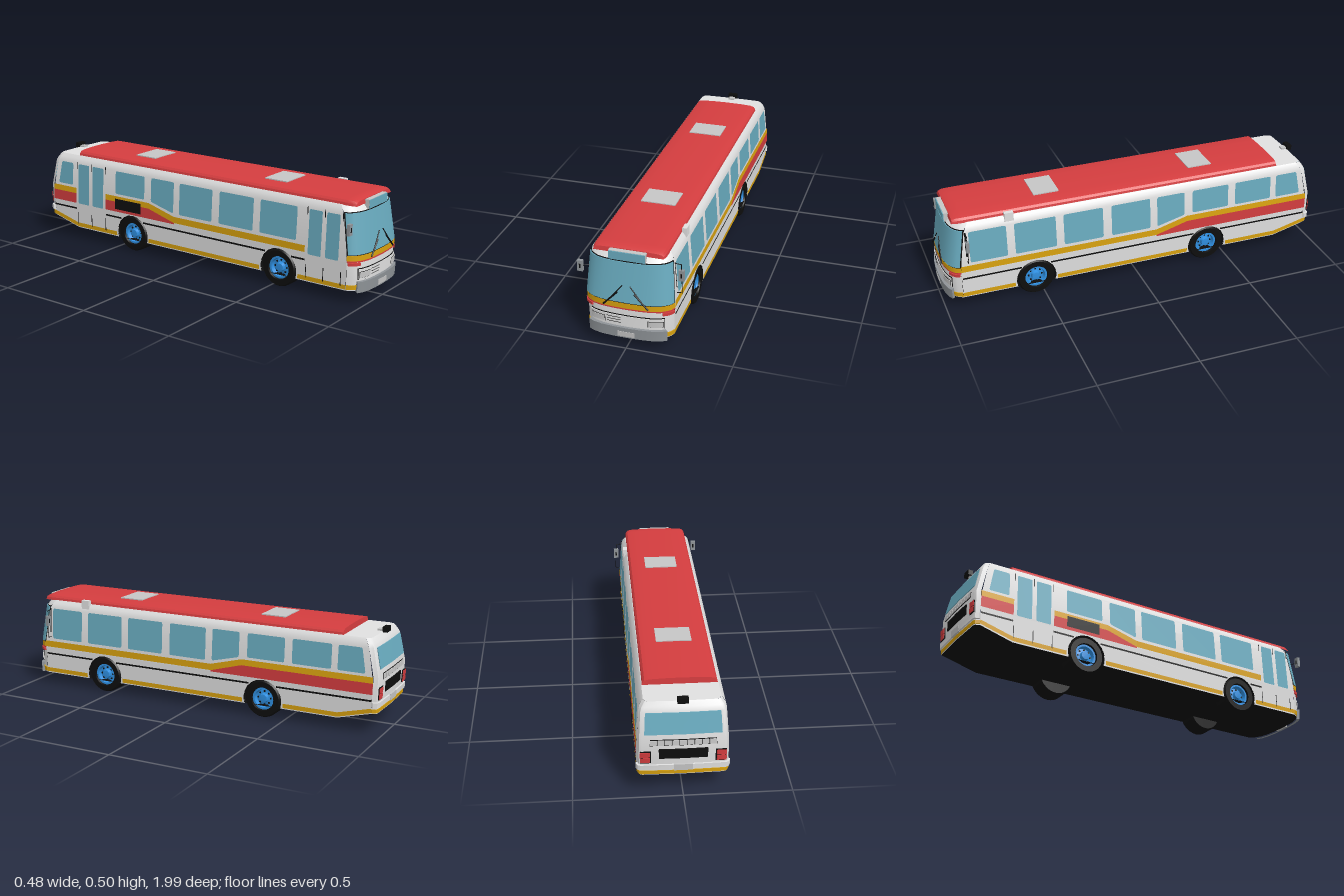
import * as THREE from 'three';
import { toCreasedNormals } from 'three/addons/utils/BufferGeometryUtils.js';

const paint = (name, color, side = THREE.FrontSide) => {
  const m = new THREE.MeshStandardMaterial({ color, side });
  m.name = name;
  return m;
};
const white = paint('bodyWhite', 0xe0e0e0);
const red = paint('roofRed', 0xd43d3f);
const yellow = paint('stripeYellow', 0xd9a20f);
const glass = paint('windowGlass', 0x69abbf);
const black = paint('black', 0x0e0e0e, THREE.DoubleSide);
const pale = paint('paleGrey', 0xc6c6c6);
const grey = paint('bumperGrey', 0x8f9498);
const blue = paint('hubBlue', 0x2f8fe0);

// Piecewise-linear lookup in a list of [key, value]
const look = (t, k) => {
  if (k <= t[0][0]) return t[0][1];
  for (let i = 1; i < t.length; i++) {
    if (k <= t[i][0]) return THREE.MathUtils.mapLinear(k, t[i - 1][0], t[i][0], t[i - 1][1], t[i][1]);
  }
  return t[t.length - 1][1];
};
// Body half width, front end and rear end by height; corner rounding by fraction of the width
const W = (y) => look([[0.06, 0.203], [0.2, 0.207], [0.255, 0.207], [0.42, 0.196], [0.445, 0.188], [0.462, 0.174]], y);
const F = (y) => look([[0.06, 0.982], [0.11, 0.985], [0.235, 0.985], [0.43, 0.955], [0.462, 0.93]], y);
const B = (y) => look([[0.105, -0.978], [0.28, -0.985], [0.42, -0.955], [0.44, -0.945], [0.462, -0.93]], y);
const FD = [[0, 0], [0.3, 0.002], [0.55, 0.007], [0.75, 0.018], [0.88, 0.034], [0.95, 0.048], [1, 0.07]];
const RD = [[0, 0], [0.9, 0.004], [0.96, 0.01], [1, 0.03]];
const front = (a, y, o = 0) => [a * (W(y) + o), y, F(y) - look(FD, Math.abs(a)) + o];
const rear = (a, y, o = 0) => [-a * (W(y) + o), y, B(y) + look(RD, Math.abs(a)) - o];
const stops = (t, a0, a1) => {
  const all = t.flatMap(([k]) => [k, -k]).filter((k) => k > a0 + 1e-4 && k < a1 - 1e-4);
  return [a0, ...new Set(all.map((k) => k + 0)), a1].sort((p, q) => p - q);
};

export function createModel() {
  const bus = new THREE.Group();
  bus.name = 'bus';
  const add = (name, geo, mat, parent = bus) => {
    const m = new THREE.Mesh(geo, mat);
    m.name = name;
    parent.add(m);
    return m;
  };
  // Surface through fn(u, v) over two lists
  const grid = (name, us, vs, fn, mat) => {
    const pos = [], idx = [], n = us.length;
    vs.forEach((v, j) => us.forEach((u, i) => {
      pos.push(...fn(u, v, i, j));
      if (i && j) {
        const d = j * n + i, c = d - 1, b = d - n, a = b - 1;
        idx.push(a, b, d, a, d, c);
      }
    }));
    const g = new THREE.BufferGeometry();
    g.setAttribute('position', new THREE.Float32BufferAttribute(pos, 3));
    g.setIndex(idx);
    return add(name, toCreasedNormals(g, 0.5), mat);
  };
  // Plate that follows the front or rear end
  const slab = (name, surf, a0, a1, y0, y1, o, mat) => {
    const s = stops(surf === front ? FD : RD, a0, a1);
    const us = [a0, ...s, a1], last = us.length - 1;
    const ring = [[y0, 0], [y0, o], [y1, o], [y1, 0]];
    return grid(name, us, ring, (u, [y, off], i) => surf(u, y, i === 0 || i === last ? 0 : off), mat);
  };
  // Flat outline of [z, y] points laid on a side wall, with optional rounded corners
  const sidePlate = (name, side, pts, mat, o = 0.003, r = 0) => {
    const v = pts.map(([z, y]) => new THREE.Vector2(-side * z, y));
    const s = new THREE.Shape();
    v.forEach((p, i) => {
      const q = v[(i + v.length - 1) % v.length], n = v[(i + 1) % v.length];
      const p0 = p.clone().add(q.clone().sub(p).setLength(r)), p1 = p.clone().add(n.clone().sub(p).setLength(r));
      if (i) s.lineTo(p0.x, p0.y); else s.moveTo(p0.x, p0.y);
      if (r) s.quadraticCurveTo(p.x, p.y, p1.x, p1.y);
    });
    const g = new THREE.ShapeGeometry(s, 3), a = g.attributes.position;
    for (let i = 0; i < a.count; i++) a.setXYZ(i, side * (W(a.getY(i)) + o), a.getY(i), -side * a.getX(i));
    g.computeVertexNormals();
    return add(name, g, mat);
  };
  const rect = (z0, z1, y0, y1) => [[z0, y0], [z1, y0], [z1, y1], [z0, y1]];
  const box = (name, w, h, d, x, y, z, mat) => add(name, new THREE.BoxGeometry(w, h, d), mat).position.set(x, y, z);
  const rod = (name, a, b, r, mat) => {
    const p = new THREE.Vector3(...a), q = new THREE.Vector3(...b), d = q.clone().sub(p);
    const m = add(name, new THREE.CylinderGeometry(r, r, d.length(), 6), mat);
    m.position.copy(p).lerp(q, 0.5);
    m.quaternion.setFromUnitVectors(new THREE.Vector3(0, 1, 0), d.normalize());
  };

  // Body shell
  const axles = [0.54, -0.385], all = stops(FD, -1, 1), allR = stops(RD, -1, 1);
  grid('frontEnd', all, [0.06, 0.11, 0.235, 0.43, 0.445, 0.462], (a, y) => front(a, y), white);
  grid('rearEnd', allR, [0.105, 0.2, 0.28, 0.42, 0.44, 0.462], (a, y) => rear(a, y), white);
  grid('roofDeck', all, [0, 1], (a, v) => (v ? rear(-a, 0.462) : front(a, 0.462)), white);
  grid('floor', all.map((a) => -a), [0, 1, 2],
    (a, v) => [() => front(a, 0.06), () => [a * W(0.06), 0.06, -0.78], () => rear(-a, 0.105)][v](), black);
  for (const s of [1, -1]) {
    grid('upperSide', [0, 1], [0.2, 0.255, 0.42, 0.445, 0.462],
      (u, y) => [s * W(y), y, (s > 0 ? u : 1 - u) ? B(y) + 0.03 : F(y) - 0.07], white);
    const low = [[0.912, 0.06]];
    for (const c of axles) {
      for (let i = 0; i <= 12; i++) {
        const t = -0.33 + (i / 12) * (Math.PI + 0.66);
        low.push([c + 0.102 * Math.cos(t), 0.093 + 0.102 * Math.sin(t)]);
      }
    }
    low.push([-0.78, 0.06], [-0.948, 0.105], [-0.951, 0.2], [0.915, 0.2]);
    sidePlate('lowerSide', s, low, white, 0);
  }

  // Raised roof, with a rounded nose
  const half = [[0.172, 0], [0.169, 0.013], [0.16, 0.023], [0.14, 0.028], [0.08, 0.031]];
  const arc = [...half.map(([x, y]) => [-x, y]), [0, 0.032], ...half.slice().reverse()];
  const stations = [[0.936, 0.95, 0], [0.932, 0.96, 0.7], [0.915, 0.99, 0.96], [0.88, 1, 1], [-0.785, 1, 1], [-0.787, 1, 0]];
  grid('raisedRoof', arc, stations, ([x, y], [z, sx, sy]) => [x * sx, 0.46 + y * sy, z], red);
  for (const z of [-0.385, 0.44]) box('roofHatch', 0.17, 0.008, 0.13, 0, 0.492, z, pale);
  box('signHousing', 0.172, 0.044, 0.05, 0, 0.457, 0.93, pale);
  box('destinationSign', 0.17, 0.04, 0.004, 0, 0.457, 0.957, glass);

  // Windscreen and wipers
  slab('windscreenSeal', front, -1, 1, 0.233, 0.433, 0.002, black);
  slab('windscreen', front, -0.99, 0.99, 0.237, 0.429, 0.004, glass);
  for (const s of [1, -1]) {
    rod('wiperArm', [s * 0.018, 0.32, 0.978], [s * 0.1, 0.22, 0.99], 0.0025, black);
    rod('wiperBlade', [s * 0.04, 0.285, 0.984], [s * 0.106, 0.217, 0.99], 0.004, black);
  }

  // Front stripes, grille panel, lamps and bumper
  slab('frontYellowBand', front, -1, 1, 0.207, 0.233, 0.003, yellow);
  slab('frontRedLine', front, -1, 1, 0.2, 0.206, 0.003, red);
  slab('grilleSurround', front, -0.84, 0.84, 0.114, 0.17, 0.002, black);
  slab('grillePanel', front, -0.825, 0.825, 0.116, 0.166, 0.005, white);
  for (const y of [0.128, 0.141, 0.154]) slab('grilleSlat', front, -0.44, -0.12, y, y + 0.002, 0.006, black);
  for (const s of [1, -1]) {
    const pair = (name, a, b, ...rest) => slab(name, front, Math.min(s * a, s * b), Math.max(s * a, s * b), ...rest);
    pair('headlampRim', 0.48, 0.81, 0.123, 0.154, 0.006, black);
    pair('headlamp', 0.49, 0.8, 0.125, 0.152, 0.008, pale);
    pair('indicator', 0.79, 0.99, 0.184, 0.198, 0.006, red);
    pair('frontCornerStripe', 0.86, 1, 0.066, 0.088, 0.003, yellow);
  }
  slab('frontBumper', front, -0.86, 0.86, 0.053, 0.107, 0.013, grey);
  slab('frontPlate', front, -0.185, 0.185, 0.06, 0.086, 0.015, pale);

  // Side stripes; the right side leaves room for two doors
  const lo = (z) => look([[-0.27, 0.255], [-0.1, 0.207]], z), hi = (z) => look([[-0.27, 0.285], [-0.1, 0.24]], z);
  const band = (name, s, z0, z1, f0, f1, mat) => {
    const zs = [z0, ...[-0.27, -0.1].filter((z) => z > z0 && z < z1), z1];
    sidePlate(name, s, [...zs.map((z) => [z, f0(z)]), ...zs.reverse().map((z) => [z, f1(z)])], mat);
  };
  const runs = { 1: [[-0.954, 0.915]], '-1': [[-0.954, -0.785], [-0.57, 0.69]] };
  const lines = { 1: [[-0.95, -0.46], [-0.31, 0.465], [0.615, 0.91]], '-1': [[-0.95, -0.785], [-0.57, -0.46], [-0.31, 0.465], [0.615, 0.69]] };
  for (const s of [1, -1]) {
    for (const [z0, z1] of runs[s]) {
      band('yellowBand', s, z0, z1, lo, hi, yellow);
      if (z0 < -0.1) band('redBand', s, z0, Math.min(z1, -0.1), () => 0.2, lo, red);
    }
    for (const [z0, z1] of lines[s]) sidePlate('blackLine', s, rect(z0, z1, 0.165, 0.174), black);
    for (const [z0, z1] of [[0.65, 0.912], [-0.275, 0.43], [-0.78, -0.495]]) {
      sidePlate('sillStripe', s, rect(z0, z1, 0.066, 0.088), yellow);
    }
    sidePlate('sillStripe', s, [[-0.78, 0.066], [-0.95, 0.111], [-0.95, 0.132], [-0.78, 0.088]], yellow);

    // Side windows
    const panes = [[0.43, 0.64], [0.185, 0.39], [-0.067, 0.14], [-0.255, -0.105], [-0.5, -0.3]];
    if (s > 0) panes.push([0.68, 0.866], [-0.743, -0.54]);
    for (const [z0, z1] of panes) {
      const sill = (z) => look([[-0.27, 0.298], [-0.1, 0.256]], z);
      sidePlate('sideWindow', s, [[z0, sill(z0)], [z1, sill(z1)], [z1, 0.42], [z0, 0.42]], glass, 0.003, 0.01);
    }
    sidePlate('rearSideWindow', s, [[-0.915, 0.298], [s > 0 ? -0.775 : -0.81, 0.298], [s > 0 ? -0.775 : -0.81, 0.42], [-0.893, 0.42]], glass, 0.003, 0.01);
  }
  sidePlate('driverPillar', 1, rect(0.877, 0.885, 0.29, 0.42), black);

  // Doors and engine vent on the right side
  for (const [z0, z1] of [[0.695, 0.885], [-0.78, -0.575]]) {
    const mid = (z0 + z1) / 2;
    for (const z of [z0, mid, z1]) sidePlate('doorSeam', -1, rect(z - 0.002, z + 0.002, 0.08, 0.43), black, 0.004);
    for (const [p, q] of [[z0, mid], [mid, z1]]) sidePlate('doorGlass', -1, rect(p + 0.012, q - 0.012, 0.2, 0.42), glass, 0.005, 0.008);
  }
  sidePlate('engineVent', -1, rect(-0.5, -0.32, 0.215, 0.272), black, 0.006);

  // Rear end
  slab('rearWindow', rear, -0.84, 0.84, 0.318, 0.418, 0.004, glass);
  slab('louvreBacking', rear, -0.72, 0.72, 0.264, 0.294, 0.002, black);
  for (let i = 0; i < 9; i++) slab('louvre', rear, -0.71 + i * 0.159, -0.57 + i * 0.159, 0.267, 0.291, 0.005, pale);
  slab('engineGrille', rear, -0.52, 0.52, 0.195, 0.245, 0.005, black);
  for (const s of [1, -1]) {
    slab('tailLampRim', rear, s * 0.81 - 0.11, s * 0.81 + 0.11, 0.172, 0.234, 0.004, black);
    for (const y of [0.176, 0.205]) slab('tailLamp', rear, s * 0.81 - 0.1, s * 0.81 + 0.1, y, y + 0.025, 0.007, red);
  }
  slab('rearBumper', rear, -1, 1, 0.135, 0.162, 0.008, white);
  slab('rearPlate', rear, -0.2, 0.2, 0.132, 0.164, 0.01, pale);
  slab('rearYellowStripe', rear, -1, 1, 0.11, 0.128, 0.003, yellow);
  box('rearCameraBracket', 0.03, 0.012, 0.04, 0, 0.465, -0.92, pale);
  box('rearCamera', 0.05, 0.026, 0.025, 0, 0.472, -0.94, black);
  box('sideAirIntake', 0.022, 0.045, 0.045, 0.184, 0.46, 0.66, white);

  // Mirrors
  for (const [s, y, z] of [[1, 0.357, 0.88], [-1, 0.366, 0.937]]) {
    box('mirror', 0.026, 0.054, 0.016, s * 0.229, y, z, grey);
    box('mirrorClamp', 0.007, 0.022, 0.019, s * 0.229, y, z, black);
  }
  rod('mirrorArm', [0.195, 0.415, 0.88], [0.228, 0.412, 0.88], 0.002, black);
  rod('mirrorArm', [0.228, 0.412, 0.88], [0.232, 0.266, 0.88], 0.0015, black);
  rod('mirrorArm', [0.232, 0.266, 0.88], [0.205, 0.264, 0.88], 0.002, black);
  rod('mirrorArm', [-0.18, 0.366, 0.92], [-0.225, 0.366, 0.937], 0.0015, black);

  // Wheels and wheel wells
  const lathe = (pts, n) => toCreasedNormals(new THREE.LatheGeometry(pts.map((p) => new THREE.Vector2(...p)), n), 0.6);
  const tyre = lathe([[0, -0.05], [0.088, -0.05], [0.095, -0.04], [0.095, 0.04], [0.088, 0.05], [0.06, 0.05], [0.055, 0.03]], 28);
  const hub = lathe([[0.057, 0.04], [0.047, 0.04], [0.042, 0.02], [0.024, 0.024], [0.02, 0.04], [0, 0.042]], 24);
  const well = new THREE.CylinderGeometry(0.102, 0.102, 0.11, 24, 1, true);
  for (const s of [1, -1]) {
    for (const z of axles) {
      const wheel = new THREE.Group();
      wheel.name = 'wheel';
      add('tyre', tyre, black, wheel);
      add('hub', hub, blue, wheel);
      for (let i = 0; i < 8; i++) {
        const t = (i / 8) * Math.PI * 2;
        add('hubHole', new THREE.CylinderGeometry(0.005, 0.005, 0.006, 8), black, wheel)
          .position.set(0.034 * Math.cos(t), 0.022, 0.034 * Math.sin(t));
      }
      wheel.rotation.z = -s * Math.PI / 2;
      wheel.position.set(s * 0.155, 0.095, z);
      bus.add(wheel);
      // Only the part of the well above the floor
      const w = add('wheelWell', new THREE.CylinderGeometry(0.102, 0.102, 0.105, 20, 1, true, Math.PI - 0.33, Math.PI + 0.66), black);
      w.rotation.set(0, 0, -Math.PI / 2);
      w.position.set(s * 0.1535, 0.093, z);
    }
  }
  well.dispose();
  return bus;
}
